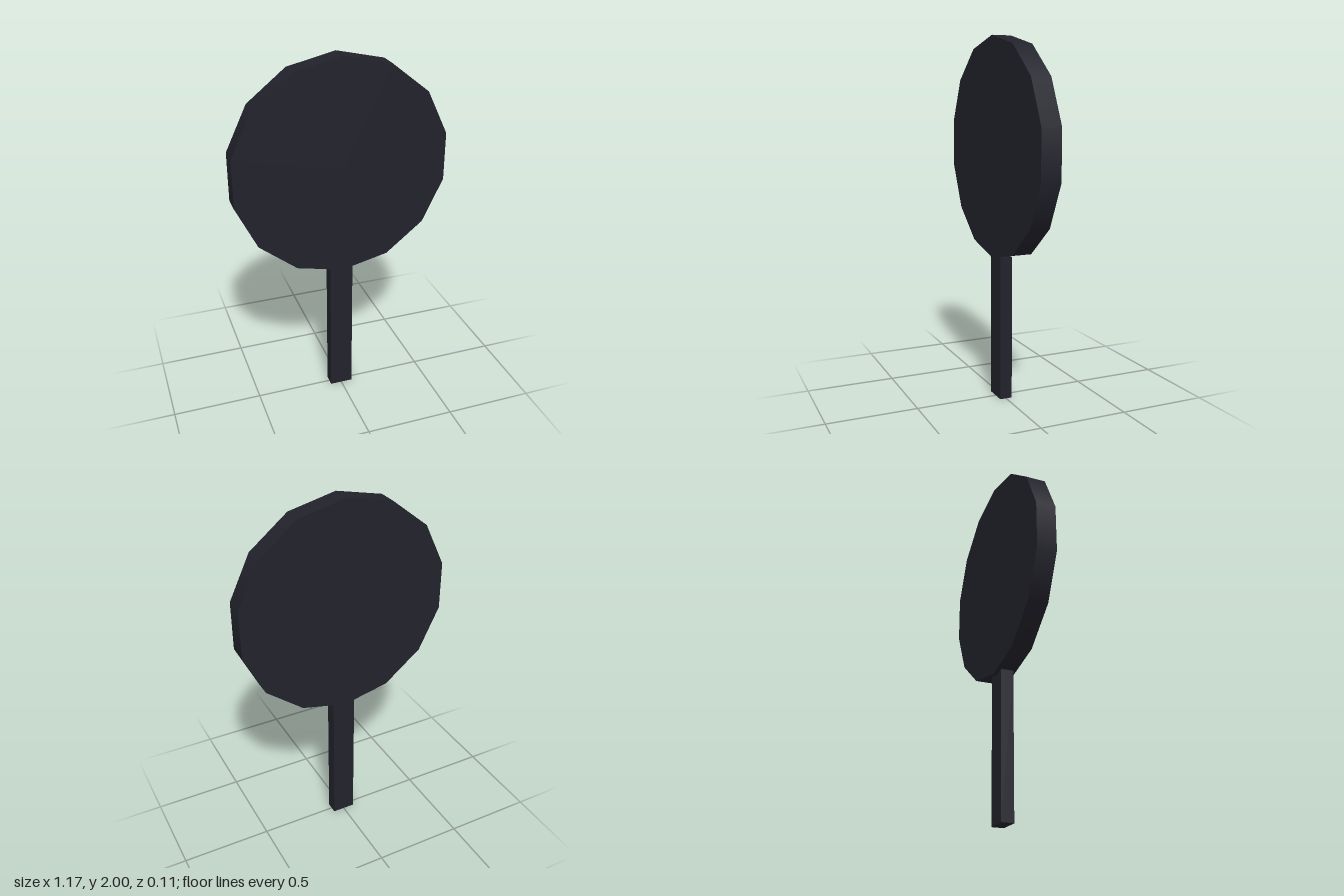
import * as THREE from 'three';

export function createModel() {
  const group = new THREE.Group();
  const charcoal = new THREE.MeshStandardMaterial({ color: 0x22222c });
  charcoal.name = 'charcoal';

  const add = (name, geometry, y) => {
    const mesh = new THREE.Mesh(geometry, charcoal);
    mesh.name = name;
    mesh.position.y = y;
    group.add(mesh);
  };

  // Fourteen-sided disc facing front, with a corner at top and bottom
  add('disc', new THREE.CylinderGeometry(0.6, 0.6, 0.11, 14).rotateX(Math.PI / 2), 1.4);

  // Flat rectangular handle, its top tucked just inside the disc
  add('handle', new THREE.BoxGeometry(0.13, 0.81, 0.07), 0.405);

  return group;
}
